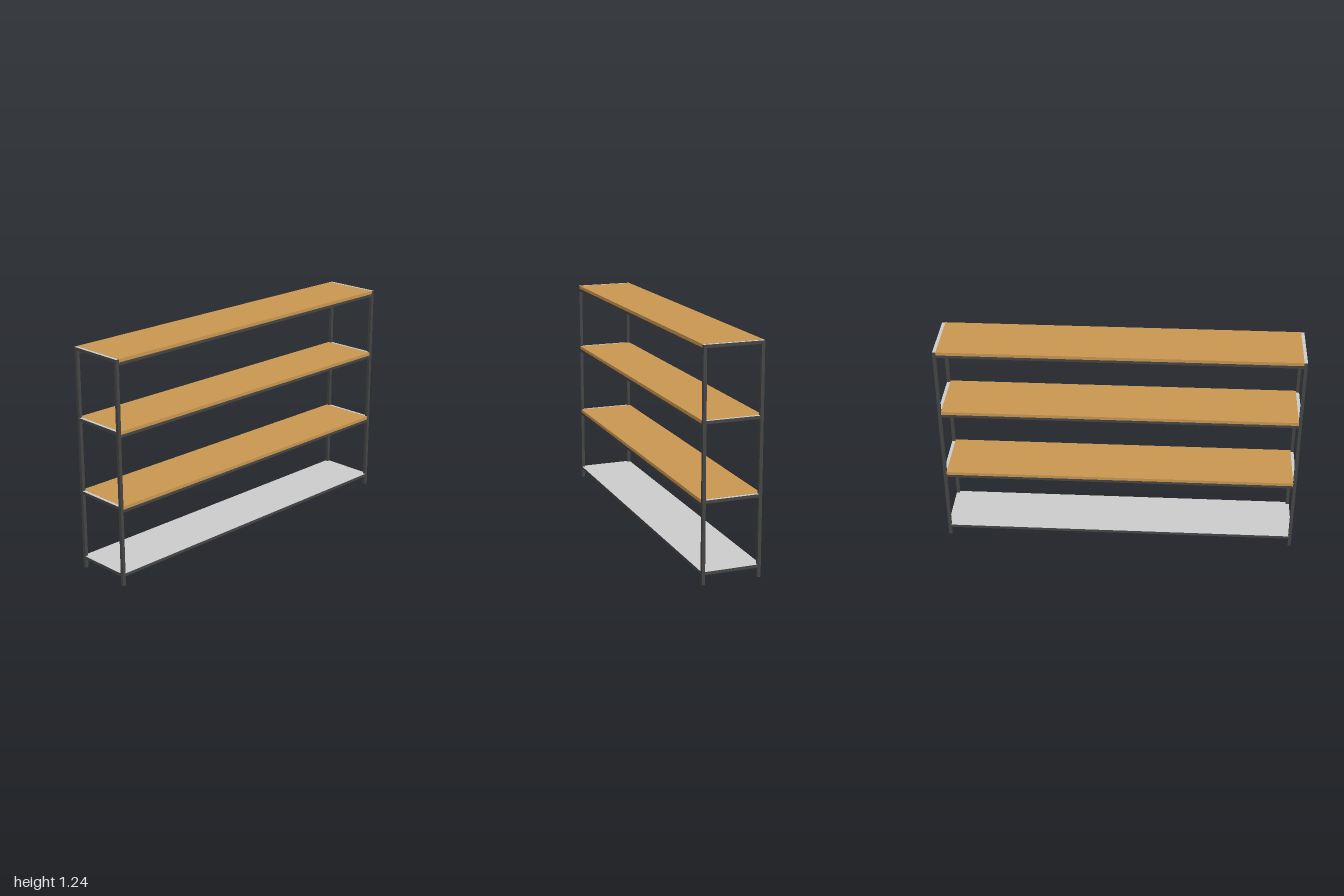
import * as THREE from 'three';

const W = 2, D = 0.328, H = 1.24, T = 0.018; // overall size and tube thickness
const metal = new THREE.MeshStandardMaterial({ color: 0x444444 });
const wood = new THREE.MeshStandardMaterial({ color: 0xc89650 });
const grey = new THREE.MeshStandardMaterial({ color: 0xcccccc, side: THREE.DoubleSide });

export function createModel() {
  const model = new THREE.Group();
  model.name = 'shelfRack';

  // Box placed by its centre in x and z, and by its top in y
  const box = (parent, name, mat, w, h, d, x, top, z) => {
    const mesh = new THREE.Mesh(new THREE.BoxGeometry(w, h, d), mat);
    mesh.name = name;
    mesh.position.set(x, top - h / 2, z);
    parent.add(mesh);
  };
  const px = (W - T) / 2, pz = (D - T) / 2, inner = W - 2 * T;

  // Four corner posts
  for (const x of [-px, px])
    for (const z of [-pz, pz]) box(model, 'post', metal, T, H - 0.002, T, x, H - 0.002, z);

  // Each level: end bars, long rails, and boards or slats under a thin sheet
  [0.07, 0.449, 0.859, H].forEach((top, i) => {
    const level = new THREE.Group();
    level.name = i ? 'shelf' : 'slattedTray';
    const barTop = top - 0.002;
    for (const x of [-px, px])
      box(level, 'endBar', metal, T, T - 0.002, D - 2 * T, x, barTop, 0);
    const railTop = i ? top - T : barTop;
    for (const z of [-pz, pz])
      box(level, 'longRail', metal, inner, 0.016, T, 0, railTop, z);

    if (i) box(level, 'board', wood, inner, T, D, 0, top, 0);
    else
      for (let s = 1; s <= 5; s++)
        box(level, 'slat', metal, inner, 0.016, T, 0, barTop, -pz + (s * 2 * pz) / 6);

    // Sheet covering the level, just under the top of the boards
    const sheet = new THREE.Mesh(new THREE.PlaneGeometry(W, D), grey);
    sheet.name = 'coverSheet';
    sheet.rotation.x = -Math.PI / 2;
    sheet.position.y = top - 0.001;
    level.add(sheet);
    model.add(level);
  });
  return model;
}
